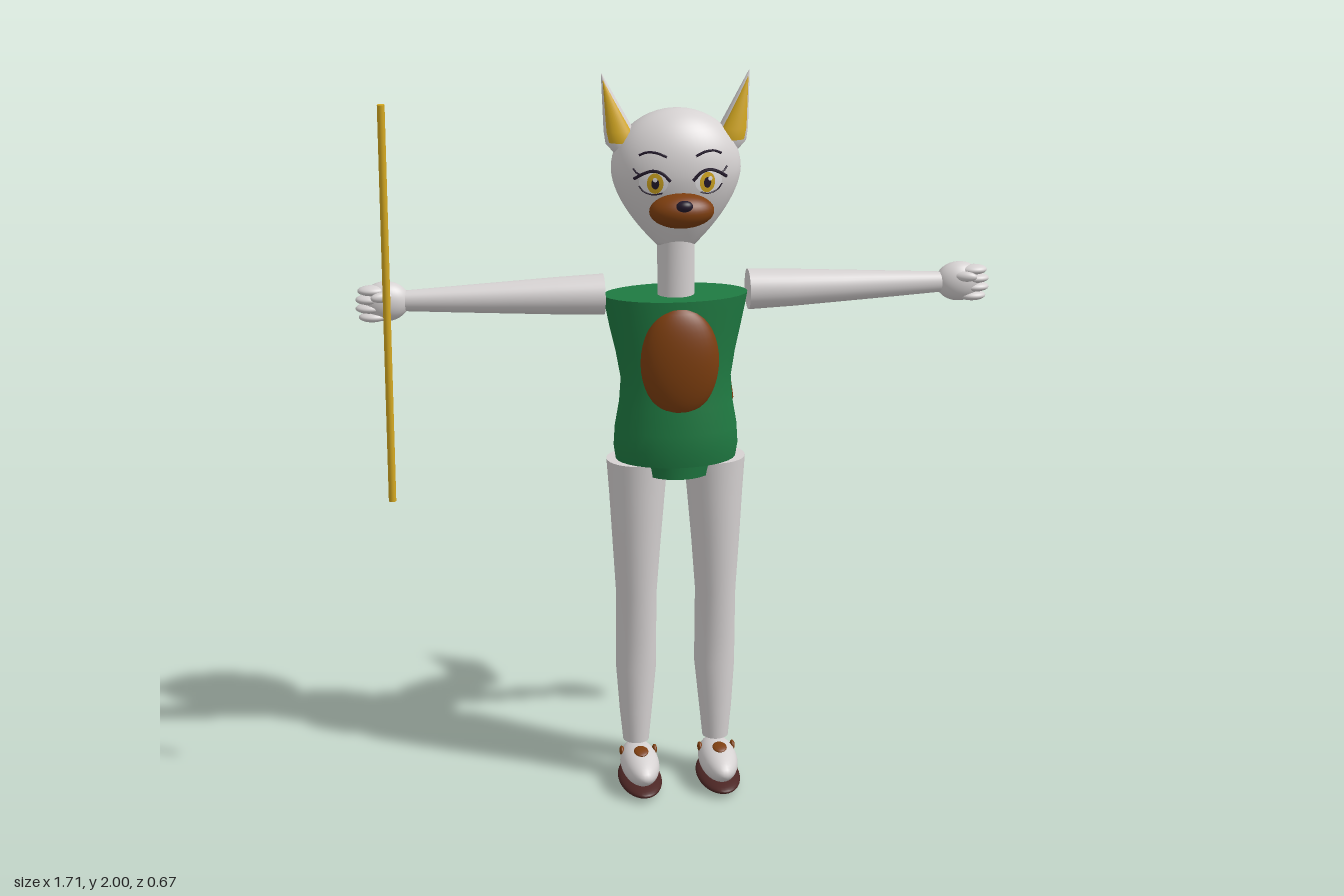
import * as THREE from 'three';

const mat = (name, color, side = THREE.FrontSide) => {
  const m = new THREE.MeshStandardMaterial({ color, side });
  m.name = name;
  return m;
};

// Skin through rings [x, y, z, rx, rz]; rings follow the path when "bent", else stay level
function loft(rings, bent = false, sides = 32) {
  const pos = [], idx = [], X = new THREE.Vector3(1, 0, 0);
  const C = rings.map(r => new THREE.Vector3(r[0], r[1], r[2]));
  const loops = rings.map((r, i) => {
    const n = new THREE.Vector3(0, 1, 0);
    if (bent) {
      n.set(0, 0, 0);
      if (i > 0) n.add(C[i].clone().sub(C[i - 1]).normalize());
      if (i < C.length - 1) n.add(C[i + 1].clone().sub(C[i]).normalize());
      n.normalize();
    }
    const v = X.clone().cross(n).normalize(), u = n.clone().cross(v);
    return Array.from({ length: sides }, (_, j) => {
      const t = j / sides * Math.PI * 2;
      return C[i].clone().addScaledVector(u, Math.cos(t) * r[3]).addScaledVector(v, Math.sin(t) * r[4]);
    });
  });
  loops.forEach(l => l.forEach(p => pos.push(p.x, p.y, p.z)));
  for (let i = 0; i < rings.length - 1; i++) for (let j = 0; j < sides; j++) {
    const k = (j + 1) % sides, a = i * sides + j, b = i * sides + k;
    idx.push(a, a + sides, b, b, a + sides, b + sides);
  }
  // flat end caps with their own vertices
  for (const end of [0, rings.length - 1]) {
    const base = pos.length / 3;
    [...loops[end], C[end]].forEach(p => pos.push(p.x, p.y, p.z));
    for (let j = 0; j < sides; j++) {
      const k = (j + 1) % sides;
      if (end) idx.push(base + sides, base + k, base + j);
      else idx.push(base + sides, base + j, base + k);
    }
  }
  const g = new THREE.BufferGeometry();
  g.setAttribute('position', new THREE.Float32BufferAttribute(pos, 3));
  g.setIndex(idx);
  g.computeVertexNormals();
  return g;
}

// Egg-shaped head: radius by height, flattened in depth
const HEAD_Z = 0.135, FLAT = 0.66;
const headR = y => y > 1.745
  ? 0.173 * Math.sqrt(Math.max(0, 1 - ((y - 1.745) / 0.16) ** 2))
  : 0.173 - 0.123 * Math.pow((1.745 - y) / 0.21, 1.7);
const faceZ = (x, y) => HEAD_Z + FLAT * Math.sqrt(Math.max(0, headR(y) ** 2 - x * x));

export function createModel() {
  const model = new THREE.Group();
  model.name = 'standingFoxFigure';
  const fur = mat('paleFur', 0xd6d2d2), green = mat('greenCloth', 0x1f7a42);
  const brown = mat('brownFur', 0x7d3e0f), gold = mat('gold', 0xd6aa22);
  const dark = mat('darkLine', 0x241a2c), sole = mat('soleBrown', 0x4c2624);
  const white = mat('eyeWhite', 0xf4f2f4);

  const add = (name, geo, m, parent = model) => {
    const mesh = new THREE.Mesh(geo, m);
    mesh.name = name;
    parent.add(mesh);
    return mesh;
  };
  const ball = (name, m, p, r, parent = model) => {
    const mesh = add(name, new THREE.SphereGeometry(1, 32, 20), m, parent);
    mesh.position.set(...p);
    mesh.scale.set(...r);
    return mesh;
  };
  const decal = (name, m, x, y, rx, ry, lift) => {
    const g = new THREE.RingGeometry(0, 1, 28, 4).scale(rx, ry, 1).translate(x, y, 0);
    const p = g.attributes.position;
    for (let i = 0; i < p.count; i++) p.setZ(i, faceZ(p.getX(i), p.getY(i)) + lift);
    g.computeVertexNormals();
    return add(name, g, m);
  };
  const line = (name, m, pts, r, lift) => {
    const curve = new THREE.CatmullRomCurve3(pts.map(([x, y]) => new THREE.Vector3(x, y, faceZ(x, y) + lift)));
    return add(name, new THREE.TubeGeometry(curve, 16, r, 6), m);
  };

  // Head and neck
  const profile = [new THREE.Vector2(0, 1.535)];
  for (let i = 0; i <= 14; i++) profile.push(new THREE.Vector2(headR(1.535 + 0.015 * i), 1.535 + 0.015 * i));
  for (let i = 1; i <= 14; i++) {
    const y = 1.745 + 0.16 * Math.sin(i / 14 * Math.PI / 2);
    profile.push(new THREE.Vector2(i === 14 ? 0 : headR(y), y));
  }
  const head = add('head', new THREE.LatheGeometry(profile, 48), fur);
  head.scale.z = FLAT;
  head.position.z = HEAD_Z;
  add('neck', loft([[0, 1.38, 0.137, 0.05, 0.045], [0, 1.56, 0.137, 0.05, 0.043]]), fur);

  // Muzzle and nose
  ball('muzzle', brown, [0, 1.655, 0.25], [0.086, 0.046, 0.055]);
  ball('nose', dark, [0, 1.68, 0.305], [0.022, 0.015, 0.016]);

  // Torso, briefs and belly patch
  add('torso', loft([
    [0, 0.94, 0.132, 0.164, 0.11], [0, 0.98, 0.134, 0.17, 0.115], [0, 1.03, 0.134, 0.167, 0.114],
    [0, 1.10, 0.136, 0.155, 0.105], [0, 1.17, 0.136, 0.15, 0.097], [0, 1.24, 0.13, 0.162, 0.1],
    [0, 1.31, 0.125, 0.178, 0.106], [0, 1.37, 0.128, 0.19, 0.103], [0, 1.40, 0.13, 0.195, 0.1]]), green);
  add('briefs', loft([[0, 0.905, 0.132, 0.105, 0.106], [0, 0.95, 0.132, 0.122, 0.109]]), green);
  ball('bellyPatch', brown, [0, 1.232, 0.218], [0.106, 0.153, 0.05]);

  // Tail with two bends
  add('tail', loft([
    [0, 0.965, 0.07, 0.074, 0.078], [0, 0.918, -0.11, 0.072, 0.074], [0.06, 0.89, -0.18, 0.072, 0.07],
    [0.115, 0.875, -0.235, 0.064, 0.07], [0.172, 0.985, -0.278, 0.052, 0.053],
    [0.196, 1.175, -0.302, 0.001, 0.001]], true), brown);

  for (const s of [1, -1]) {
    const side = s > 0 ? 'left' : 'right';

    // Ear with gold lining on its front
    const ear = new THREE.Group();
    ear.name = side + 'Ear';
    model.add(ear);
    add('earShell', loft([[s * 0.145, 1.79, 0.137, 0.02, 0.015], [s * 0.147, 1.815, 0.137, 0.04, 0.026],
      [s * 0.152, 1.85, 0.137, 0.04, 0.026], [s * 0.196, 2.0, 0.127, 0.001, 0.001]]), fur, ear);
    add('earLining', loft([[s * 0.147, 1.82, 0.149, 0.033, 0.018], [s * 0.153, 1.85, 0.149, 0.033, 0.019],
      [s * 0.192, 1.982, 0.132, 0.001, 0.001]]), gold, ear);

    // Eye, lashes and brow
    const ex = s * 0.073, ey = 1.728;
    decal(side + 'EyeWhite', white, ex, ey, 0.037, 0.03, 0.003);
    decal(side + 'Iris', gold, ex - s * 0.004, ey, 0.021, 0.028, 0.005);
    decal(side + 'Pupil', dark, ex - s * 0.004, ey, 0.01, 0.015, 0.007);
    decal(side + 'EyeGlint', white, ex + 0.003, ey + 0.011, 0.006, 0.006, 0.009);
    line(side + 'UpperLash', dark, [[s * 0.03, 1.735], [s * 0.05, 1.755], [s * 0.075, 1.762],
      [s * 0.1, 1.753], [s * 0.122, 1.738]], 0.0045, 0.006);
    line(side + 'LowerLash', dark, [[s * 0.05, 1.702], [s * 0.075, 1.697], [s * 0.098, 1.705], [s * 0.11, 1.72]], 0.002, 0.005);
    line(side + 'LashFlick', dark, [[s * 0.105, 1.75], [s * 0.116, 1.755], [s * 0.124, 1.765]], 0.0025, 0.006);
    line(side + 'Brow', dark, [[s * 0.038, 1.798], [s * 0.065, 1.808], [s * 0.09, 1.808], [s * 0.108, 1.8]], 0.0035, 0.004);

    // Arm, lofted upright then laid sideways
    const arm = loft([[0, 0.195, 0.137, 0.055, 0.055], [0, 0.32, 0.137, 0.05, 0.05], [0, 0.45, 0.136, 0.043, 0.042],
      [0, 0.58, 0.135, 0.036, 0.033], [0, 0.74, 0.133, 0.027, 0.022]]);
    arm.rotateZ(-s * Math.PI / 2);
    add(side + 'Arm', arm, fur).position.y = 1.405;

    // Hand with curled fingers
    const hand = new THREE.Group();
    hand.name = side + 'Hand';
    model.add(hand);
    ball('palm', fur, [s * 0.775, 1.405, 0.131], [0.064, 0.054, 0.041], hand);
    for (let i = 0; i < 4; i++) {
      const reach = [0.81, 0.818, 0.818, 0.812][i];
      ball('finger', fur, [s * reach, 1.367 + i * 0.024, 0.143], [0.037, 0.0135, 0.026], hand);
    }
    ball('thumb', fur, [s * 0.785, 1.425, 0.165], [0.032, 0.014, 0.014], hand).rotation.y = -s * 0.3;

    // Leg
    add(side + 'Leg', loft([[s * 0.112, 0.11, 0.137, 0.036, 0.038], [s * 0.112, 0.2, 0.134, 0.045, 0.046],
      [s * 0.11, 0.33, 0.127, 0.056, 0.053], [s * 0.11, 0.42, 0.13, 0.056, 0.054],
      [s * 0.11, 0.55, 0.139, 0.056, 0.056], [s * 0.109, 0.7, 0.14, 0.066, 0.067],
      [s * 0.107, 0.84, 0.137, 0.076, 0.077], [s * 0.106, 0.94, 0.135, 0.084, 0.082]]), fur);

    // Shoe with sole and straps
    const shoe = new THREE.Group();
    shoe.name = side + 'Shoe';
    model.add(shoe);
    ball('upper', fur, [s * 0.11, 0.065, 0.205], [0.053, 0.046, 0.125], shoe);
    ball('sole', sole, [s * 0.11, 0.02, 0.206], [0.06, 0.02, 0.134], shoe);
    ball('toeStrap', brown, [s * 0.11, 0.113, 0.238], [0.02, 0.006, 0.024], shoe).rotation.x = 0.22;
    for (const k of [1, -1])
      ball('sideStrap', brown, [s * 0.11 + k * 0.046, 0.088, 0.17], [0.007, 0.012, 0.014], shoe).rotation.x = 0.6;
  }

  // Staff at the right hand
  add('staff', new THREE.CylinderGeometry(0.01, 0.01, 1.08, 12), gold).position.set(-0.775, 1.41, 0.205);

  return model;
}
